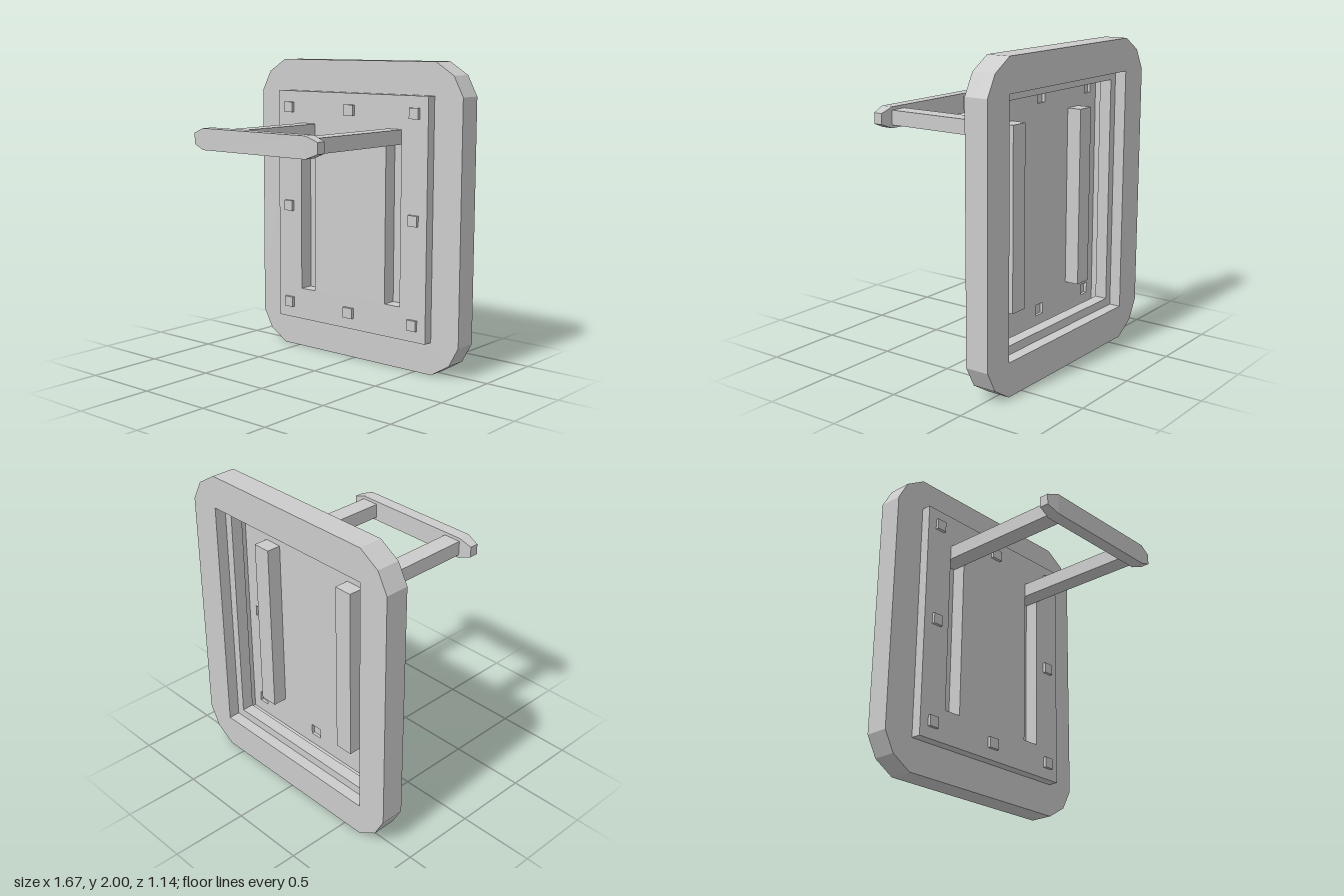
import * as THREE from 'three';

const solid = new THREE.MeshStandardMaterial({ color: 0xcccccc, flatShading: true });
const sheet = new THREE.MeshStandardMaterial({ color: 0xcccccc, flatShading: true, side: THREE.DoubleSide });

// Front and rear planes of the pressed panel and its slots
const FRAME_BACK = -0.57, LEDGE = -0.495, FRAME_FRONT = -0.415, PANEL = -0.35, SLOT_BACK = -0.445, STUD = -0.33;
const MID = 1.0025;

function rectPath(x, y, w, h) {
  return new THREE.Path([[-1, -1], [-1, 1], [1, 1], [1, -1]].map(
    ([a, b]) => new THREE.Vector2(x + a * w / 2, y + b * h / 2)));
}

function add(parent, name, geometry, material, x = 0, y = 0, z = 0) {
  const mesh = new THREE.Mesh(geometry, material);
  mesh.name = name;
  mesh.position.set(x, y, z);
  parent.add(mesh);
  return mesh;
}

// Four thin walls around a rectangle, running from z0 to z1
function addWalls(parent, x, y, w, h, z0, z1) {
  const depth = z1 - z0, z = (z0 + z1) / 2;
  for (const s of [-1, 1]) {
    add(parent, 'sideWall', new THREE.PlaneGeometry(depth, h), sheet, x + s * w / 2, y, z).rotation.y = s * Math.PI / 2;
    add(parent, 'endWall', new THREE.PlaneGeometry(w, depth), sheet, x, y + s * h / 2, z).rotation.x = -s * Math.PI / 2;
  }
}

// One slice of the chamfered frame with a rectangular opening
function frameSlice(openW, openH, z0, z1) {
  const corner = [[0.835, 0.787], [0.765, 0.917], [0.63, 1]];
  const back = [...corner].reverse();
  const outline = [
    ...corner, ...back.map(([x, y]) => [-x, y]),
    ...corner.map(([x, y]) => [-x, -y]), ...back.map(([x, y]) => [x, -y]),
  ];
  const shape = new THREE.Shape(outline.map(([x, y]) => new THREE.Vector2(x, y + 1)));
  shape.holes.push(rectPath(0, MID, openW, openH));
  const g = new THREE.ExtrudeGeometry(shape, { depth: z1 - z0, bevelEnabled: false });
  return g.translate(0, 0, z0);
}

export function createModel() {
  const model = new THREE.Group();
  model.name = 'wallLever';

  // Frame with a stepped opening at the rear
  const frame = new THREE.Group();
  frame.name = 'frame';
  model.add(frame);
  add(frame, 'frameRear', frameSlice(1.26, 1.575, FRAME_BACK, LEDGE), solid);
  add(frame, 'frameFront', frameSlice(1.15, 1.465, LEDGE, FRAME_FRONT), solid);

  // Raised panel, pierced by the slots and hollow studs
  const panel = new THREE.Group();
  panel.name = 'panel';
  model.add(panel);
  const face = new THREE.Shape(rectPath(0, MID, 1.25, 1.575).getPoints());
  addWalls(panel, 0, MID, 1.25, 1.575, FRAME_FRONT, PANEL);

  // Studs around the edge
  for (const x of [-0.525, 0, 0.525]) for (const y of [0.325, 1.003, 1.68]) {
    if (x === 0 && y === 1.003) continue;
    const w = x === 0 ? 0.08 : 0.07, stud = new THREE.Group();
    stud.name = 'stud';
    panel.add(stud);
    face.holes.push(rectPath(x, y, w, 0.07));
    addWalls(stud, x, y, w, 0.07, PANEL, STUD);
    add(stud, 'studCap', new THREE.PlaneGeometry(w, 0.07), sheet, x, y, STUD);
  }

  const handle = new THREE.Group();
  handle.name = 'handle';
  model.add(handle);

  // Slots, and the handle arms that come out of their upper ends
  for (const side of [-1, 1]) {
    const x = side * 0.36, slot = new THREE.Group();
    slot.name = 'slot';
    panel.add(slot);
    face.holes.push(rectPath(x, 1.0025, 0.122, 1.145));
    addWalls(slot, x, 1.0025, 0.122, 1.145, SLOT_BACK, PANEL);
    add(slot, 'slotFloor', new THREE.PlaneGeometry(0.122, 1.145), sheet, x, 1.0025, SLOT_BACK);
    add(handle, 'arm', new THREE.BoxGeometry(0.12, 0.094, 0.935), solid, x, 1.527, 0.0275);
  }
  add(panel, 'panelFace', new THREE.ShapeGeometry(face), sheet, 0, 0, PANEL);

  // Grip bar tapering at both ends
  const grip = new THREE.BoxGeometry(3, 1, 1, 3, 1, 1);
  const p = grip.attributes.position;
  for (let i = 0; i < p.count; i++) {
    const tip = Math.abs(p.getX(i)) > 1;
    p.setXYZ(i, Math.sign(p.getX(i)) * (tip ? 0.505 : 0.42),
      p.getY(i) * (tip ? 0.07 : 0.135), p.getZ(i) * (tip ? 0.06 : 0.082));
  }
  grip.computeVertexNormals();
  add(handle, 'grip', grip, solid, 0, 1.527, 0.527);

  return model;
}
